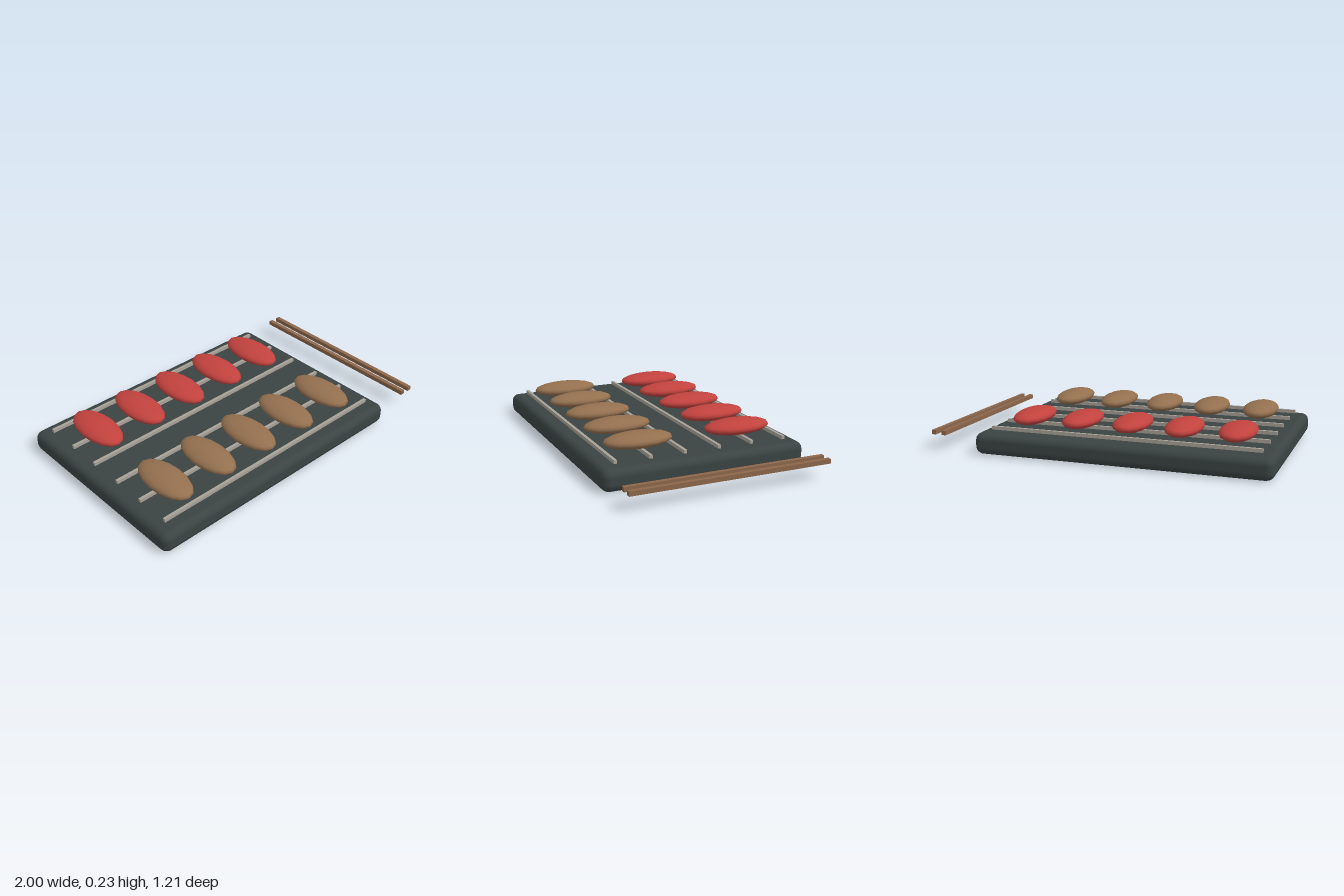
import * as THREE from 'three';
import { RoundedBoxGeometry } from 'three/addons/geometries/RoundedBoxGeometry.js';

function material(name, color) {
  const m = new THREE.MeshStandardMaterial({ color });
  m.name = name;
  return m;
}

export function createModel() {
  const model = new THREE.Group();
  model.name = 'grillPlatter';

  const slate = material('darkSlate', 0x3b4343);
  const steel = material('paleSteel', 0xa8a298);
  const red = material('red', 0xc2423e);
  const brown = material('brown', 0x94704f);
  const wood = material('wood', 0x8c674b);

  function add(name, geometry, mat, x, y, z) {
    const mesh = new THREE.Mesh(geometry, mat);
    mesh.name = name;
    mesh.position.set(x, y, z);
    model.add(mesh);
    return mesh;
  }

  // Rounded slab
  add('board', new RoundedBoxGeometry(1.716, 0.126, 1.21, 2, 0.045), slate, -0.142, 0.063, 0);

  const rod = new THREE.BoxGeometry(1.566, 0.02, 0.018);
  const piece = new THREE.SphereGeometry(1, 16, 10).scale(0.103, 0.044, 0.202);

  // Two rows, each with three rods and five oval pieces
  for (const [side, label, mat] of [[1, 'brownPiece', brown], [-1, 'redPiece', red]]) {
    for (const z of [0.103, 0.305, 0.508]) add('rod', rod, steel, -0.142, 0.144, side * z);
    for (let i = 0; i < 5; i++) {
      add(label, piece, mat, -0.749 + i * 0.3035, 0.19, side * 0.305);
    }
  }

  // Pair of chopsticks beside the board
  const stick = new THREE.BoxGeometry(0.026, 0.026, 1.164);
  for (const x of [0.921, 0.985]) add('chopstick', stick, wood, x, 0.105, 0);

  return model;
}
